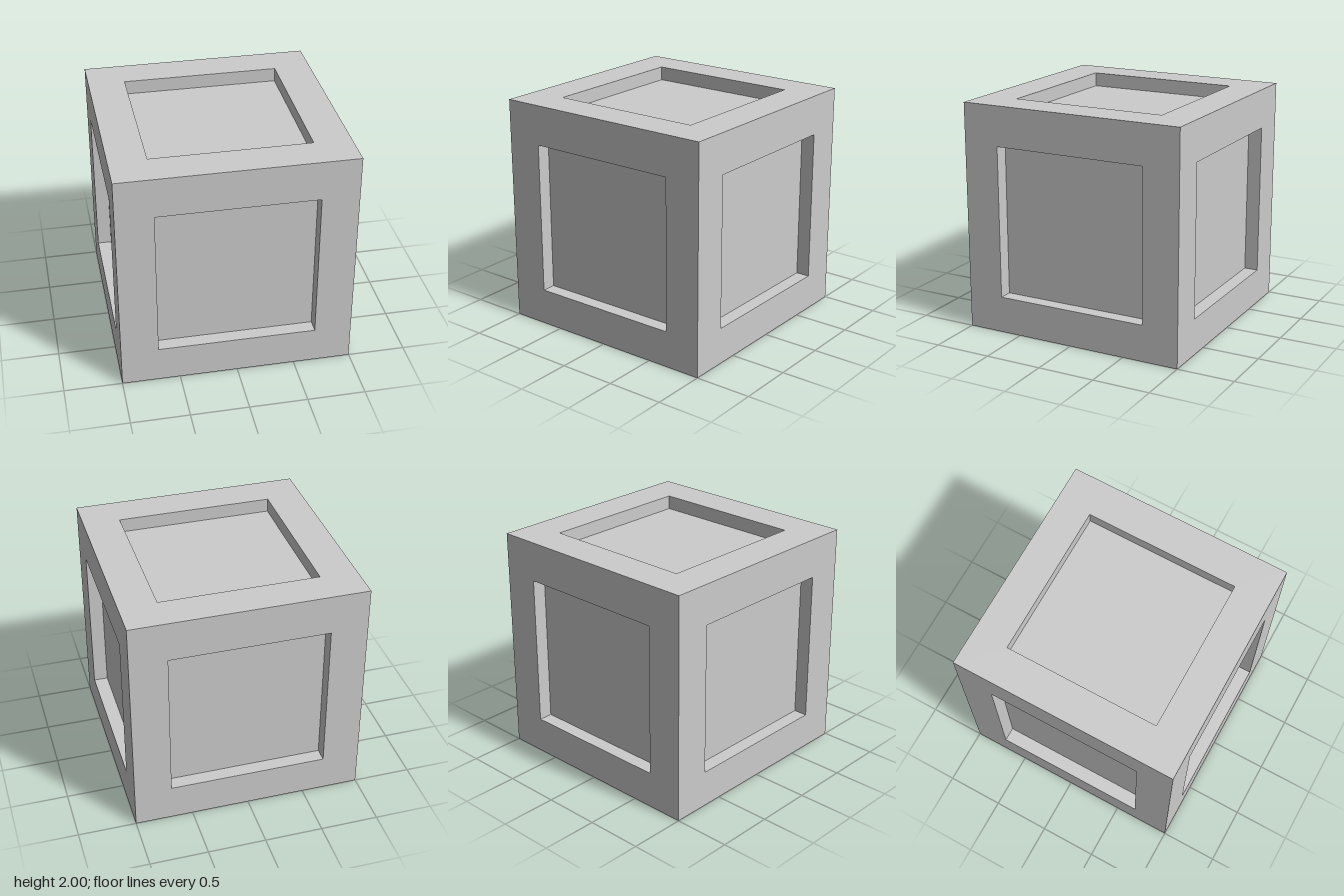
import * as THREE from 'three';
import { mergeGeometries } from 'three/addons/utils/BufferGeometryUtils.js';

const HALF = 1;       // half the cube's edge
const INSET = 0.68;   // half the width of a recess
const DEPTH = 0.122;  // depth of a recess

const material = new THREE.MeshStandardMaterial({ color: 0xcccccc });

// Flat rim around a rectangular opening, lying at z = HALF
function rimGeometry(low, high) {
  const shape = new THREE.Shape([
    new THREE.Vector2(-HALF, -HALF), new THREE.Vector2(HALF, -HALF),
    new THREE.Vector2(HALF, HALF), new THREE.Vector2(-HALF, HALF),
  ]);
  shape.holes.push(new THREE.Path([
    new THREE.Vector2(-INSET, low), new THREE.Vector2(-INSET, high),
    new THREE.Vector2(INSET, high), new THREE.Vector2(INSET, low),
  ]));
  return new THREE.ShapeGeometry(shape).translate(0, 0, HALF);
}

// Four straight walls facing into the opening
function wallGeometry(low, high) {
  const height = high - low, middle = (low + high) / 2, z = HALF - DEPTH / 2;
  const walls = [];
  for (const s of [-1, 1]) {
    walls.push(new THREE.PlaneGeometry(DEPTH, height)
      .rotateY(-s * Math.PI / 2).translate(s * INSET, middle, z));
    walls.push(new THREE.PlaneGeometry(2 * INSET, DEPTH)
      .rotateX(s * Math.PI / 2).translate(0, s < 0 ? low : high, z));
  }
  return mergeGeometries(walls);
}

// One cube face with its sunken panel, built facing +z
function recessedFace(name, low, high) {
  const face = new THREE.Group();
  face.name = name;
  const add = (part, geometry) => {
    const mesh = new THREE.Mesh(geometry, material);
    mesh.name = part;
    face.add(mesh);
  };
  add('rim', rimGeometry(low, high));
  add('recessWalls', wallGeometry(low, high));
  add('sunkenPanel', new THREE.PlaneGeometry(2 * INSET, high - low)
    .translate(0, (low + high) / 2, HALF - DEPTH));
  face.position.y = HALF;
  return face;
}

export function createModel() {
  const model = new THREE.Group();
  model.name = 'panelledCube';

  // Four upright faces
  ['frontFace', 'leftFace', 'backFace', 'rightFace'].forEach((name, i) => {
    const face = recessedFace(name, -0.68, 0.652);
    face.rotation.y = i * Math.PI / 2;
    model.add(face);
  });

  // Top face
  const top = recessedFace('topFace', -INSET, 0.685);
  top.rotation.x = -Math.PI / 2;
  model.add(top);

  // Plain underside
  const base = new THREE.Mesh(
    new THREE.PlaneGeometry(2 * HALF, 2 * HALF).rotateX(Math.PI / 2), material);
  base.name = 'bottomFace';
  model.add(base);

  return model;
}
